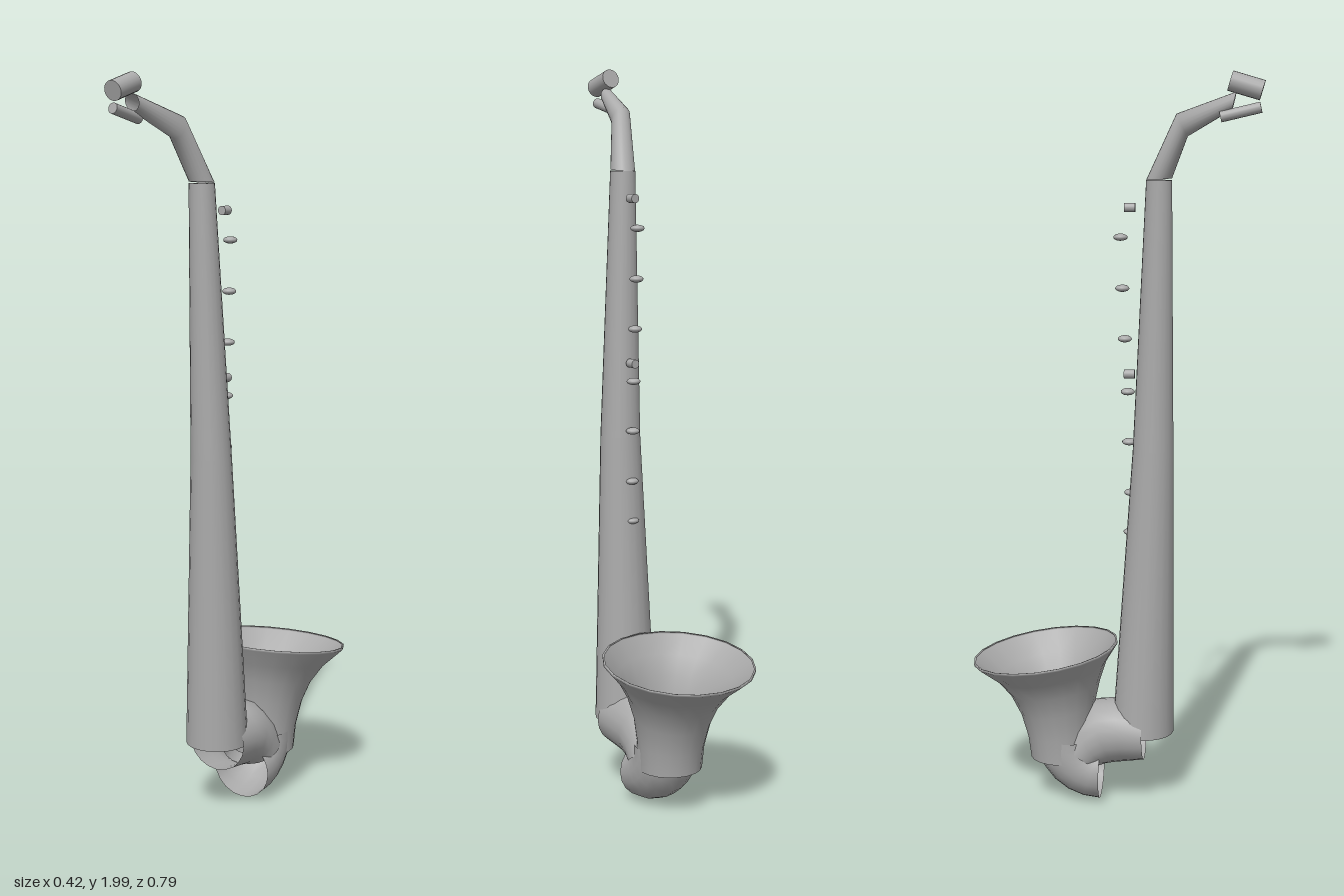
import * as THREE from 'three';

const metal = new THREE.MeshStandardMaterial({ color: 0xaaaaaa, side: THREE.DoubleSide });
metal.name = 'grey metal';

// Open tube through elliptical rings. Each ring: [x, halfWidth, yA, zA, yB, zB],
// where A and B are opposite points of the ring in the side plane.
function loft(name, rings, sides = 20) {
  const pos = [], index = [];
  rings.forEach(([x, w, yA, zA, yB, zB], i) => {
    for (let j = 0; j < sides; j++) {
      const t = (j / sides) * Math.PI * 2, c = Math.cos(t) / 2;
      pos.push(x + w * Math.sin(t), (yA + yB) / 2 + (yB - yA) * c, (zA + zB) / 2 + (zB - zA) * c);
      if (i === 0) continue;
      const k = (j + 1) % sides, p = (i - 1) * sides, q = i * sides;
      index.push(p + j, q + j, q + k, p + j, q + k, p + k);
    }
  });
  const g = new THREE.BufferGeometry();
  g.setAttribute('position', new THREE.Float32BufferAttribute(pos, 3));
  g.setIndex(index);
  g.computeVertexNormals();
  const mesh = new THREE.Mesh(g, metal);
  mesh.name = name;
  return mesh;
}

// Closed cylinder between two points
function rod(name, from, to, r) {
  const a = new THREE.Vector3(...from), b = new THREE.Vector3(...to);
  const mesh = new THREE.Mesh(new THREE.CylinderGeometry(r, r, a.distanceTo(b), 20), metal);
  mesh.position.copy(a).add(b).multiplyScalar(0.5);
  mesh.quaternion.setFromUnitVectors(new THREE.Vector3(0, 1, 0), b.sub(a).normalize());
  mesh.name = name;
  return mesh;
}

export function createModel() {
  const model = new THREE.Group();
  model.name = 'windInstrument';

  // Tapering body, open at both ends
  model.add(loft('body', [
    [0, 0.085, 0.2, -0.005, 0.2, 0.165],
    [0, 0.055, 1.0, 0.05, 1.0, 0.16],
    [-0.018, 0.034, 1.72, 0.085, 1.72, 0.153],
  ]));

  // Bent neck
  model.add(loft('neck', [
    [-0.018, 0.033, 1.72, 0.085, 1.725, 0.153],
    [-0.05, 0.028, 1.89, 0.165, 1.833, 0.195],
    [-0.09, 0.022, 1.945, 0.32, 1.9, 0.31],
  ]));

  // Mouthpiece and the clamp under it
  model.add(rod('mouthpiece', [-0.094, 1.948, 0.386], [-0.094, 1.972, 0.304], 0.026));
  model.add(rod('mouthpieceClamp', [-0.097, 1.906, 0.383], [-0.097, 1.882, 0.28], 0.014));

  // Two elbows of the bow
  model.add(loft('upperElbow', [
    [0, 0.09, 0.12, 0.085, 0.285, 0.08],
    [0, 0.09, 0.113, 0.03, 0.289, 0.0],
    [0, 0.09, 0.109, 0.0, 0.283, -0.06],
    [0, 0.09, 0.106, -0.02, 0.24, -0.112],
    [0, 0.09, 0.103, -0.03, 0.18, -0.148],
  ]));
  const bend = [];
  for (let i = 0; i <= 6; i++) {
    const t = (i / 6) * Math.PI / 2, s = Math.sin(t), c = Math.cos(t);
    bend.push([0, 0.09, 0.18 - 0.01 * c, -0.035 - 0.01 * s, 0.185 - 0.183 * c, -0.038 - 0.184 * s]);
  }
  model.add(loft('lowerElbow', bend));

  // Flared bell with a tilted rim
  model.add(loft('bell', [
    [0, 0.088, 0.12, -0.06, 0.12, -0.235],
    [0, 0.092, 0.2, -0.06, 0.18, -0.243],
    [0, 0.106, 0.28, -0.054, 0.245, -0.262],
    [0, 0.128, 0.345, -0.04, 0.3, -0.29],
    [0, 0.16, 0.4, -0.022, 0.345, -0.328],
    [0, 0.208, 0.45, 0.008, 0.391, -0.392],
    [0, 0.208, 0.457, 0.008, 0.398, -0.393],
    [0, 0.203, 0.456, 0.003, 0.397, -0.388],
  ]));

  // Rounded key buttons along the back: [y, z]
  const buttons = [[1.57, 0.016], [1.435, 0.021], [1.3, 0.028], [1.157, 0.036], [1.02, 0.04], [0.88, 0.046], [0.77, 0.044]];
  for (const [y, z] of buttons) {
    const key = new THREE.Mesh(new THREE.SphereGeometry(0.019, 16, 10), metal);
    key.scale.y = 0.5;
    key.position.set(0, y, z);
    key.name = 'keyButton';
    model.add(key);
  }
  // Small barrel keys
  for (const y of [1.648, 1.205]) model.add(rod('barrelKey', [0, y, 0.026], [0, y, 0.055], 0.012));

  return model;
}
